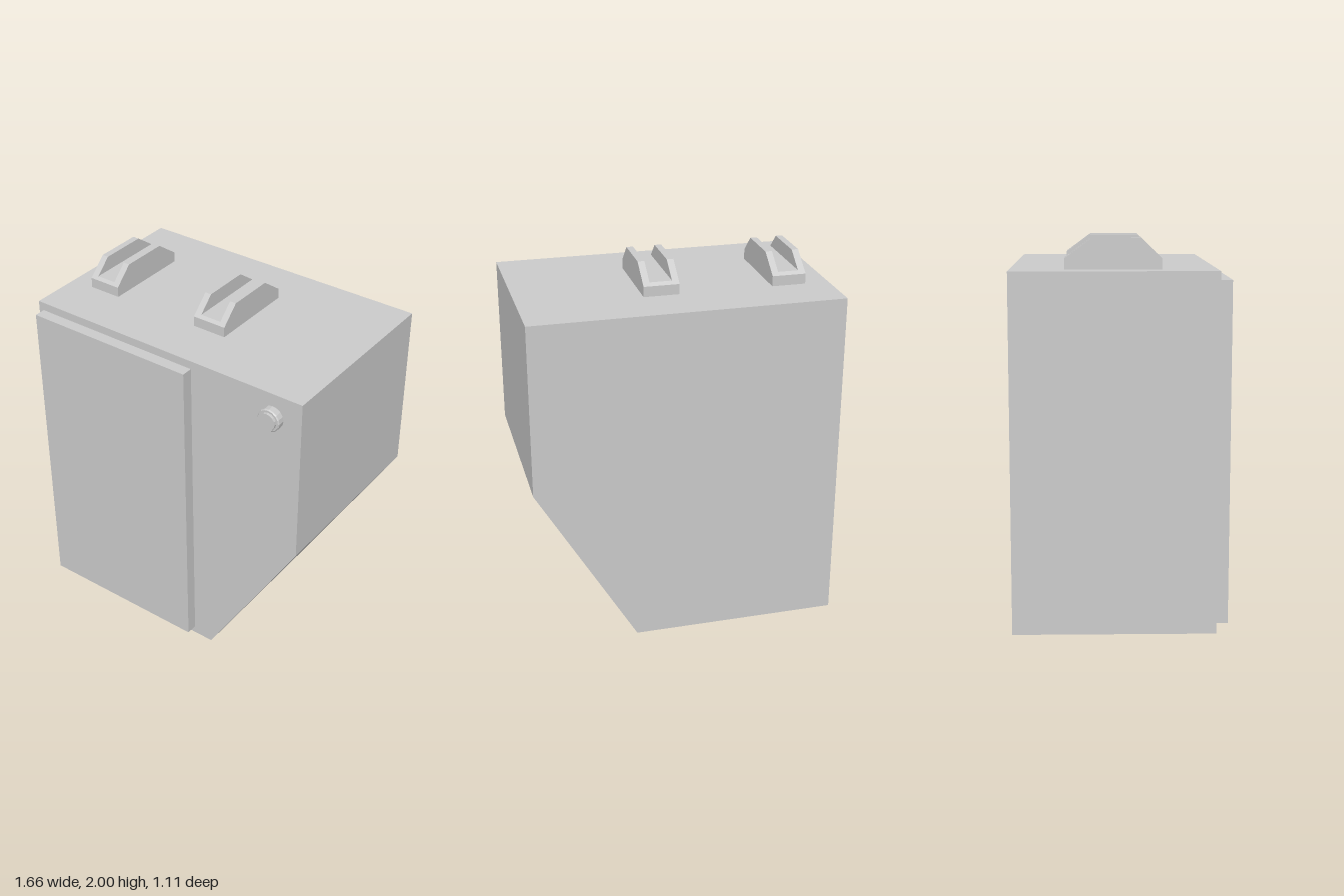
import * as THREE from 'three';

const grey = new THREE.MeshStandardMaterial({ color: 0xcccccc, flatShading: true });

function add(parent, name, geometry) {
  const mesh = new THREE.Mesh(geometry, grey);
  mesh.name = name;
  parent.add(mesh);
  return mesh;
}

function extrude(points, depth) {
  const shape = new THREE.Shape(points.map(([x, y]) => new THREE.Vector2(x, y)));
  return new THREE.ExtrudeGeometry(shape, { depth, bevelEnabled: false });
}

// Side profile (z, y) extruded across x from x0 to x1
function slab(points, x0, x1) {
  const geometry = extrude(points.map(([z, y]) => [-z, y]), x1 - x0);
  return geometry.rotateY(Math.PI / 2).translate(x0, 0, 0);
}

// Roof lug: a low base between two chamfered cheeks
function createLug(name, x0, x1) {
  const lug = new THREE.Group();
  lug.name = name;
  const wall = 0.036;
  const cheek = [[0.21, 1.85], [0.21, 1.905], [0.11, 2], [-0.15, 2], [-0.28, 1.905], [-0.28, 1.85]];
  const base = [[0.21, 1.85], [0.21, 1.905], [0.194, 1.92], [-0.26, 1.92], [-0.28, 1.905], [-0.28, 1.85]];
  add(lug, 'lugRightCheek', slab(cheek, x0, x0 + wall));
  add(lug, 'lugBase', slab(base, x0 + wall, x1 - wall));
  add(lug, 'lugLeftCheek', slab(cheek, x1 - wall, x1));
  return lug;
}

export function createModel() {
  const model = new THREE.Group();
  model.name = 'cabinet';

  // Cabinet body with one lower corner cut away
  const outline = [[-0.83, 0], [0.29, 0], [0.83, 0.92], [0.83, 1.85], [-0.83, 1.85]];
  add(model, 'body', extrude(outline, 1.045).translate(0, 0, -0.555));

  // Door panel standing proud of the front
  add(model, 'door', new THREE.BoxGeometry(0.975, 1.76, 0.062)).position.set(-0.3125, 0.925, 0.521);

  // Lugs on the roof
  model.add(createLug('rightLug', -0.7, -0.518));
  model.add(createLug('leftLug', -0.015, 0.176));

  // Stepped round knob
  const profile = [[0, 0], [0.063, 0], [0.063, 0.034], [0.058, 0.04], [0.048, 0.04], [0.048, 0.055], [0, 0.055]];
  const knob = new THREE.LatheGeometry(profile.map(([r, y]) => new THREE.Vector2(r, y)), 16);
  add(model, 'knob', knob.rotateX(Math.PI / 2)).position.set(0.664, 1.718, 0.49);

  return model;
}
